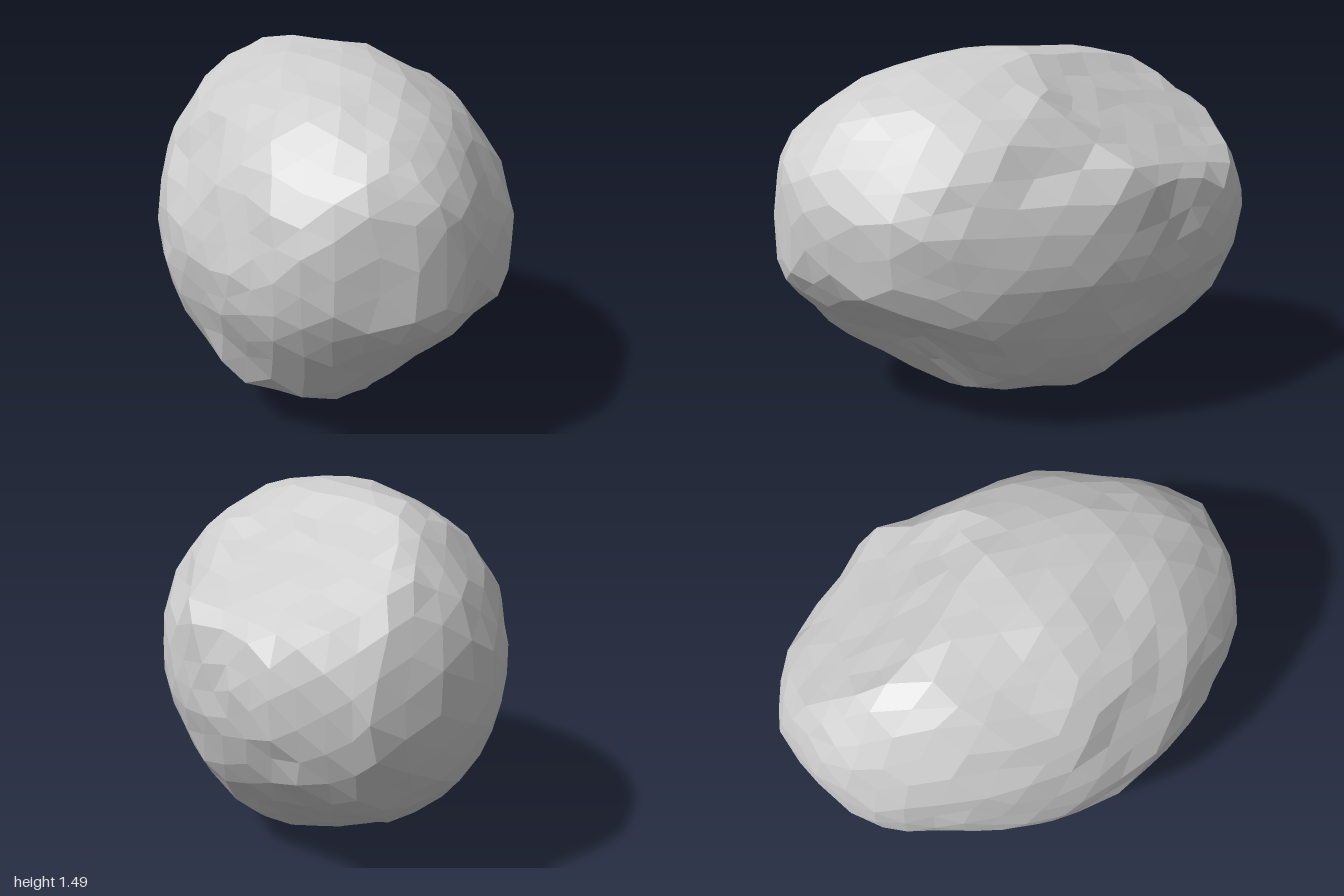
import * as THREE from 'three';
import { mergeVertices } from 'three/addons/utils/BufferGeometryUtils.js';

// Outline from back to front: z, xMin, xMax, yBottom, yTop
const SECTIONS = [
  [-1, 0.12, 0.24, 0.73, 0.81],
  [-0.985, 0.0, 0.34, 0.62, 0.92],
  [-0.95, -0.14, 0.37, 0.50, 1.06],
  [-0.86, -0.30, 0.48, 0.37, 1.22],
  [-0.72, -0.41, 0.58, 0.26, 1.35],
  [-0.54, -0.54, 0.65, 0.18, 1.45],
  [-0.36, -0.64, 0.70, 0.09, 1.47],
  [-0.18, -0.70, 0.735, 0.0, 1.485],
  [0.03, -0.74, 0.725, 0.02, 1.495],
  [0.20, -0.73, 0.69, 0.03, 1.47],
  [0.36, -0.70, 0.65, 0.06, 1.45],
  [0.52, -0.66, 0.59, 0.14, 1.41],
  [0.68, -0.58, 0.49, 0.23, 1.34],
  [0.80, -0.50, 0.36, 0.37, 1.27],
  [0.91, -0.38, 0.22, 0.51, 1.16],
  [0.985, -0.14, 0.10, 0.64, 1.05],
  [1, -0.05, 0.05, 0.72, 0.98],
];

// Hollows (positive depth) and bulges (negative): x, y, z, radius, depth
const DENTS = [
  [0.22, 0.26, 0.60, 0.32, 0.15], // undercut below the front ledge
  [-0.02, 0.66, 0.94, 0.15, -0.02], // ledge
  [0.28, 0.66, 0.74, 0.15, -0.03],
  [-0.36, 0.20, 0.55, 0.17, -0.04], // lower front corner
  [-0.54, 0.20, 0.28, 0.20, -0.05],
  [0.69, 1.04, -0.20, 0.14, -0.05], // side knob
  [0.56, 1.25, 0.08, 0.16, -0.02], // upper rim and the notch below it
  [0.64, 1.11, 0.10, 0.13, 0.04],
  [0.30, 1.16, 0.62, 0.24, 0.03],
  [-0.62, 1.10, 0.10, 0.18, 0.05], // side groove
  [-0.70, 0.82, 0.06, 0.13, 0.02],
  [-0.55, 0.92, 0.50, 0.16, 0.04],
];

// Flattened rear shoulder
const SHOULDER = new THREE.Plane(new THREE.Vector3(0.54, 0.8, -0.25).normalize(), -1.278);

// Small repeatable noise in -1..1
function makeNoise(seed) {
  let s = seed;
  return () => {
    s = (s * 16807) % 2147483647;
    return (s / 2147483647) * 2 - 1;
  };
}

// Outline at a given depth, interpolated between sections
function sectionAt(z) {
  let i = 1;
  while (i < SECTIONS.length - 1 && SECTIONS[i][0] < z) i++;
  const a = SECTIONS[i - 1], b = SECTIONS[i];
  const t = (z - a[0]) / (b[0] - a[0]);
  return a.map((value, n) => THREE.MathUtils.lerp(value, b[n], t));
}

function createRockGeometry() {
  const noise = makeNoise(4711);
  const sphere = new THREE.IcosahedronGeometry(1, 6);
  sphere.deleteAttribute('normal');
  sphere.deleteAttribute('uv');
  const geometry = mergeVertices(sphere, 1e-3);
  const position = geometry.attributes.position;
  const p = new THREE.Vector3();
  const inward = new THREE.Vector3();
  const dent = new THREE.Vector3();

  for (let i = 0; i < position.count; i++) {
    p.fromBufferAttribute(position, i);

    // Place the vertex on its section outline
    const [, x0, x1, y0, y1] = sectionAt(p.z);
    const cx = (x0 + x1) / 2, cy = (y0 + y1) / 2;
    const angle = Math.atan2(p.y, p.x) + noise() * 0.03;
    p.x = cx + Math.cos(angle) * (x1 - x0) / 2;
    p.y = cy + Math.sin(angle) * (y1 - y0) / 2;

    // Flatten the shoulder
    const above = SHOULDER.distanceToPoint(p);
    if (above > 0) p.addScaledVector(SHOULDER.normal, -above);

    // Rough surface, hollows and bulges
    inward.set(cx, cy, p.z * 0.6).sub(p).normalize();
    let push = noise() * 0.009;
    for (const [x, y, z, radius, depth] of DENTS) {
      const d = p.distanceTo(dent.set(x, y, z)) / radius;
      push += depth * Math.exp(-1.5 * d ** 3);
    }
    p.addScaledVector(inward, push);
    position.setXYZ(i, p.x, Math.max(0, p.y), THREE.MathUtils.clamp(p.z, -1, 1));
  }

  geometry.computeVertexNormals();
  return geometry;
}

export function createModel() {
  const group = new THREE.Group();
  group.name = 'boulder';
  const material = new THREE.MeshStandardMaterial({ color: 0xcccccc, flatShading: true });
  const rock = new THREE.Mesh(createRockGeometry(), material);
  rock.name = 'rock';
  group.add(rock);
  return group;
}
